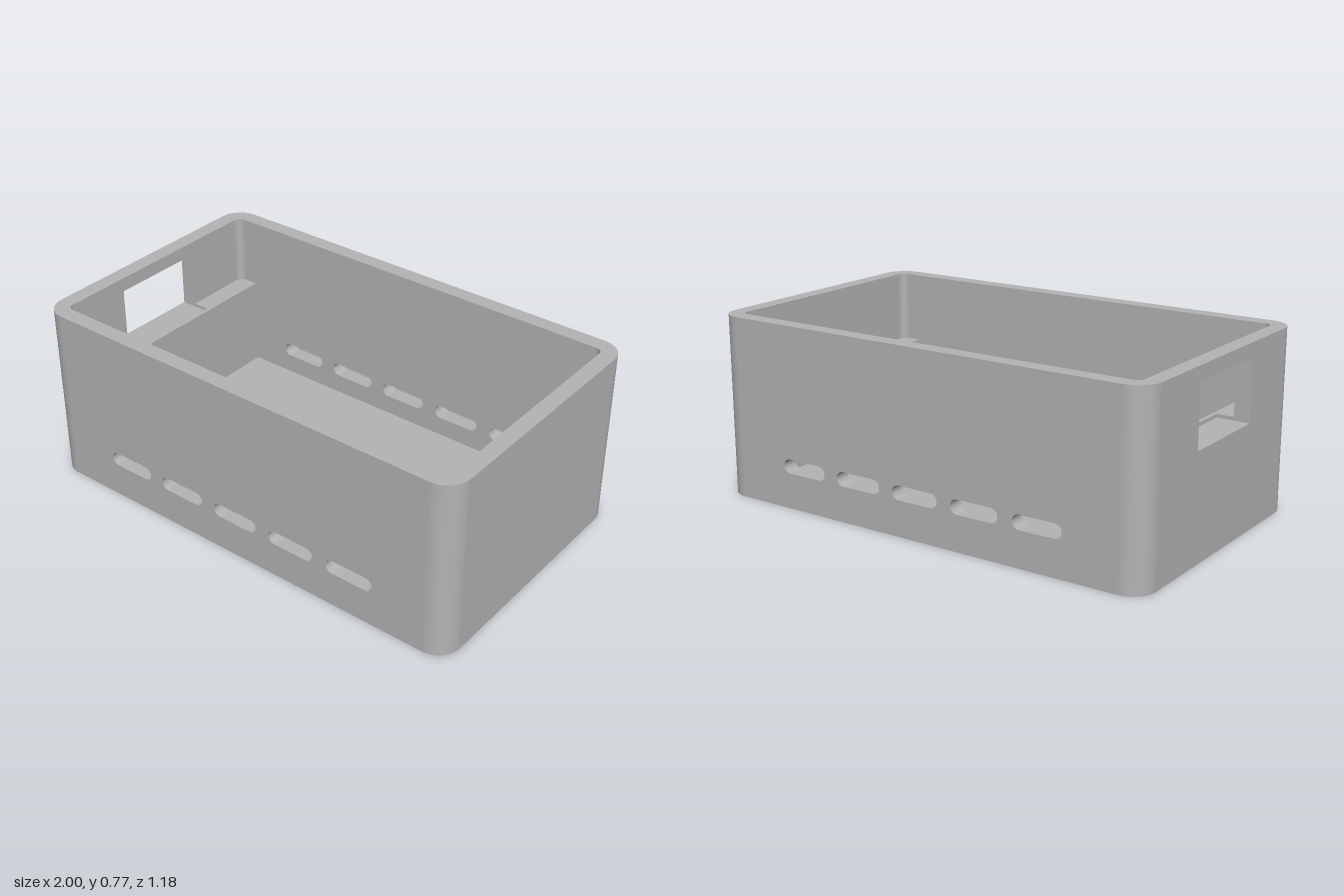
import * as THREE from 'three';
import { toCreasedNormals } from 'three/addons/utils/BufferGeometryUtils.js';

const HX = 1, HZ = 0.592, H = 0.766;      // half width, half depth, height
const R = 0.1, WALL = 0.068, FLOOR = 0.065; // corner radius, thicknesses
const LEDGE_TOP = 0.461, SILL = 0.446, WINDOW_TOP = 0.706, WINDOW_HALF = 0.212;

const rect = (x0, y0, x1, y1, Type = THREE.Shape) => new Type([
  new THREE.Vector2(x0, y0), new THREE.Vector2(x1, y0),
  new THREE.Vector2(x1, y1), new THREE.Vector2(x0, y1),
]);

function extrude(shape, depth) {
  const geo = new THREE.ExtrudeGeometry(shape, { depth, bevelEnabled: false, curveSegments: 20 });
  return toCreasedNormals(geo, 0.5);
}

// Horizontal slab between two heights (shape y becomes -z)
function slab(shape, y0, y1) {
  return extrude(shape, y1 - y0).rotateX(-Math.PI / 2).translate(0, y0, 0);
}

function roundedRect(hx, hy, r) {
  const s = new THREE.Shape();
  s.absarc(hx - r, hy - r, r, 0, Math.PI / 2);
  s.absarc(r - hx, hy - r, r, Math.PI / 2, Math.PI);
  s.absarc(r - hx, r - hy, r, Math.PI, Math.PI * 1.5);
  s.absarc(hx - r, r - hy, r, Math.PI * 1.5, Math.PI * 2);
  return s;
}

// Round hole with a narrower slot running towards +x
function keyhole(cx) {
  const r = 0.125, w = 0.068, end = 0.275;
  const a = Math.asin(w / r);
  const p = new THREE.Path();
  p.absarc(cx, 0, r, a, Math.PI * 2 - a);
  p.absarc(cx + end - w, 0, w, -Math.PI / 2, Math.PI / 2);
  p.closePath();
  return p;
}

// Stadium-shaped ventilation slot
function vent(cx) {
  const r = 0.03, half = 0.108, cy = 0.181;
  const p = new THREE.Path();
  p.absarc(cx + half - r, cy, r, -Math.PI / 2, Math.PI / 2);
  p.absarc(cx - half + r, cy, r, Math.PI / 2, Math.PI * 1.5);
  p.closePath();
  return p;
}

export function createModel() {
  const group = new THREE.Group();
  group.name = 'wallMountBox';
  const grey = new THREE.MeshStandardMaterial({ color: 0xb3b3b3 });
  grey.name = 'plainGrey';
  const add = (name, geo) => {
    const mesh = new THREE.Mesh(geo, grey);
    mesh.name = name;
    group.add(mesh);
    return mesh;
  };

  // Floor with two hanging keyholes
  const floor = roundedRect(HX, HZ, R);
  floor.holes.push(keyhole(-0.4), keyhole(0.4));
  add('floor', slab(floor, 0, FLOOR));

  // Long walls with a row of vents
  for (const [name, z] of [['frontWall', HZ - WALL], ['backWall', -HZ]]) {
    const wall = rect(R - HX, FLOOR, HX - R, H);
    for (let i = -2; i <= 2; i++) wall.holes.push(vent(i * 0.28));
    add(name, extrude(wall, WALL).translate(0, 0, z));
  }

  // End walls, the right one with a window
  for (const [name, x] of [['leftWall', HX - WALL], ['rightWall', -HX]]) {
    const wall = rect(R - HZ, FLOOR, HZ - R, H);
    if (x < 0) wall.holes.push(rect(-WINDOW_HALF, SILL, WINDOW_HALF, WINDOW_TOP, THREE.Path));
    add(name, extrude(wall, WALL).rotateY(Math.PI / 2).translate(x, 0, 0));
  }

  // Rounded corner posts
  for (let i = 0; i < 4; i++) {
    const a = i * Math.PI / 2;
    const sx = i === 0 || i === 3 ? 1 : -1, sy = i < 2 ? 1 : -1;
    const cx = sx * (HX - R), cy = sy * (HZ - R);
    const s = new THREE.Shape();
    s.absarc(cx, cy, R, a, a + Math.PI / 2, false);
    s.absarc(cx, cy, R - WALL, a + Math.PI / 2, a, true);
    s.closePath();
    add('cornerPost', slab(s, FLOOR, H));
  }

  // Inner ledges at both ends
  const inX = HX - WALL, inZ = HZ - WALL, edge = 0.843;
  add('leftLedge', slab(rect(edge, -inZ, inX, inZ), FLOOR, LEDGE_TOP));
  add('rightLedge', slab(rect(-inX, -inZ, -edge, inZ), FLOOR, SILL));

  // Top layer of the right ledge, notched below the window
  const notch = [[-inX, -inZ], [-edge, -inZ], [-edge, inZ], [-inX, inZ], [-inX, WINDOW_HALF],
    [-0.86, WINDOW_HALF], [-0.86, -WINDOW_HALF], [-inX, -WINDOW_HALF]];
  add('rightLedgeLip', slab(new THREE.Shape(notch.map(([x, y]) => new THREE.Vector2(x, y))), SILL, LEDGE_TOP));

  return group;
}
